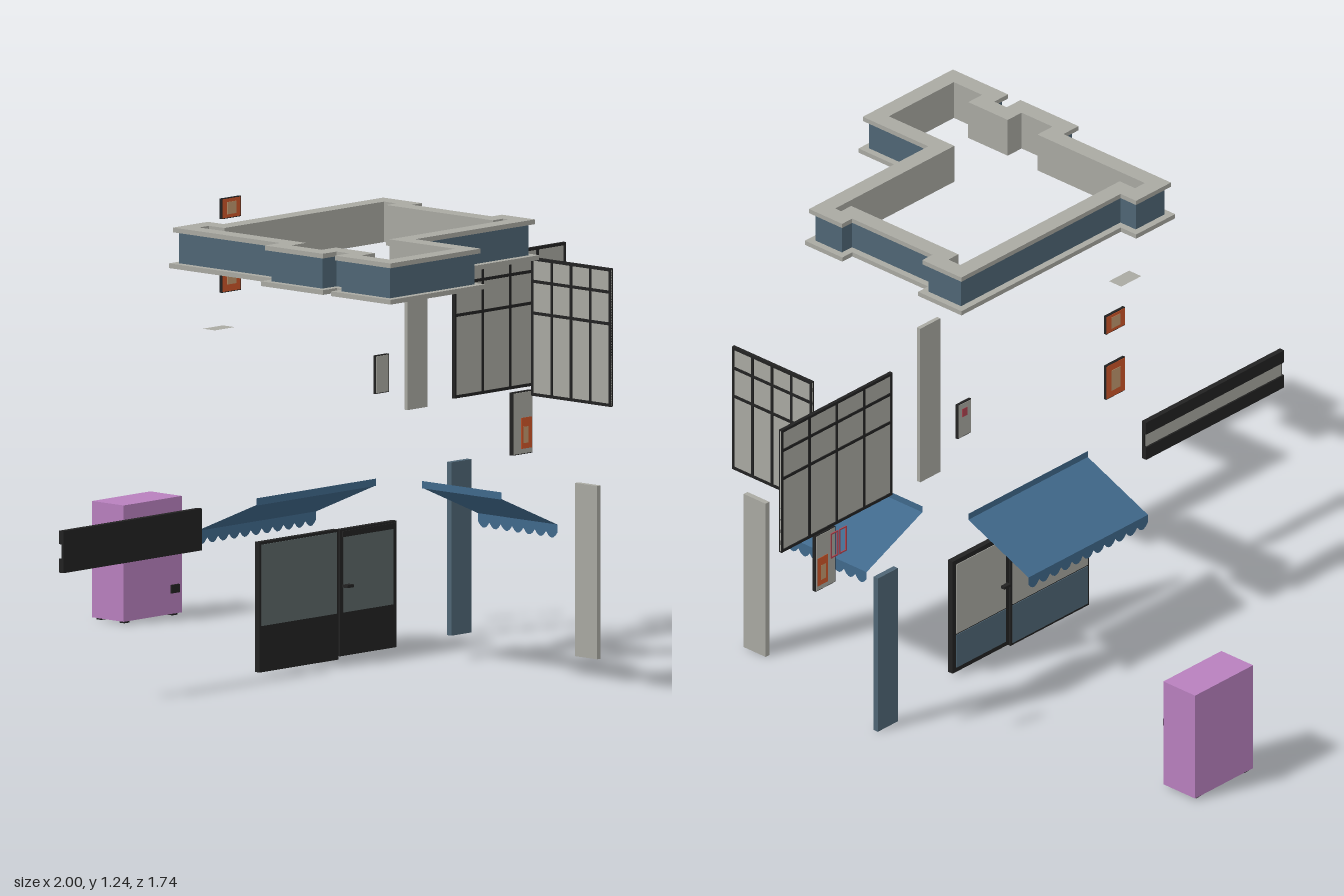
import * as THREE from 'three';

const mat = (name, color) => {
  const m = new THREE.MeshStandardMaterial({ color });
  m.name = name;
  return m;
};

export function createModel() {
  const root = new THREE.Group();
  const wallBlue = mat('slate blue paint', 0x4f6675);
  const awningBlue = mat('awning blue', 0x40698c);
  awningBlue.side = THREE.DoubleSide;
  const grey = mat('pale grey', 0xa9a9a2);
  grey.side = THREE.DoubleSide;
  const black = mat('black frame', 0x222222);
  const tint = mat('tinted glass', 0x5b6666);
  const purple = mat('purple', 0xb880be);
  const orange = mat('poster orange', 0xd0572a);
  const tan = mat('poster tan', 0xc49a70);
  const red = mat('neon red', 0xb04450);

  const group = (name, parent = root) => {
    const g = new THREE.Group();
    g.name = name;
    parent.add(g);
    return g;
  };
  // Box given by its extents on each axis
  const box = (parent, name, m, x0, x1, y0, y1, z0, z1) => {
    const mesh = new THREE.Mesh(new THREE.BoxGeometry(x1 - x0, y1 - y0, z1 - z0), m);
    mesh.position.set((x0 + x1) / 2, (y0 + y1) / 2, (z0 + z1) / 2);
    mesh.name = name;
    parent.add(mesh);
    return mesh;
  };

  // Cornice: right-angled outline, offset outward for the trims
  const outline = [
    [-0.46, 0.013], [-0.345, 0.013], [-0.345, 0.07], [0.29, 0.07], [0.29, 0.19], [0.25, 0.19],
    [0.25, 0.51], [0.29, 0.51], [0.29, 0.608], [-0.185, 0.608], [-0.185, 0.85], [-0.52, 0.85],
    [-0.52, 0.67], [-0.465, 0.67], [-0.465, 0.6], [-0.52, 0.6], [-0.52, 0.41], [-0.46, 0.41],
  ];
  const offset = (d) => outline.map((p, i) => {
    const n = outline.length, a = outline[(i + n - 1) % n], b = outline[(i + 1) % n];
    const s = Math.sign;
    return new THREE.Vector2(
      p[0] + d * (s(p[1] - a[1]) + s(b[1] - p[1])),
      -(p[1] - d * (s(p[0] - a[0]) + s(b[0] - p[0]))));
  });
  const cornice = group('cornice');
  const ring = (name, m, out, inn, y0, y1) => {
    const shape = new THREE.Shape(offset(out));
    shape.holes.push(new THREE.Path(offset(inn)));
    const geo = new THREE.ExtrudeGeometry(shape, { depth: y1 - y0, bevelEnabled: false });
    geo.rotateX(-Math.PI / 2);
    const mesh = new THREE.Mesh(geo, m);
    mesh.position.y = y0;
    mesh.name = name;
    cornice.add(mesh);
  };
  ring('corniceFace', wallBlue, 0, -0.01, 1.14, 1.225);
  ring('corniceLining', grey, -0.01, -0.038, 1.14, 1.225);
  ring('corniceBottomTrim', grey, 0.02, -0.038, 1.127, 1.14);
  ring('corniceTopTrim', grey, 0.012, -0.038, 1.225, 1.238);

  // Horizontal roof patch
  const patch = new THREE.Mesh(new THREE.PlaneGeometry(0.08, 0.045), grey);
  patch.rotation.x = -Math.PI / 2;
  patch.position.set(-0.364, 0.958, 0.07);
  patch.name = 'roofPatch';
  root.add(patch);

  // Long sign board with a pale strip facing the street
  const board = group('signBoard');
  box(board, 'signBack', black, -1, -0.45, 0.36, 0.475, 0.08, 0.088);
  box(board, 'signTopBand', black, -1, -0.45, 0.438, 0.475, 0.072, 0.08);
  box(board, 'signBottomBand', black, -1, -0.45, 0.36, 0.398, 0.072, 0.08);
  box(board, 'signStrip', grey, -0.995, -0.455, 0.398, 0.438, 0.077, 0.08);

  // Shop window and door: dark inside, pale glass and blue panel outside
  const shopPanel = (name, x0, x1, y0, y1, rail, f) => {
    const g = group(name);
    box(g, 'frame', black, x0, x1, y0, y1, 0.077, 0.094);
    box(g, 'innerGlass', tint, x0 + f, x1 - f, rail, y1 - f, 0.094, 0.096);
    box(g, 'outerGlass', grey, x0 + f, x1 - f, rail, y1 - f, 0.075, 0.077);
    box(g, 'outerPanel', wallBlue, x0 + f, x1 - f, y0 + f, rail - 0.004, 0.075, 0.077);
    return g;
  };
  shopPanel('shopWindow', -0.228, 0.085, 0, 0.357, 0.127, 0.007);
  const door = shopPanel('shopDoor', 0.092, 0.316, 0.008, 0.355, 0.127, 0.014);
  box(door, 'doorHeadInside', black, 0.1, 0.31, 0.334, 0.35, 0.094, 0.097);
  box(door, 'doorHandle', black, 0.1, 0.125, 0.196, 0.204, 0.062, 0.114);

  // Awnings: sloped sheet, scalloped valance, back strip; built facing +z
  const awning = (name, width, count) => {
    const g = group(name);
    const run = 0.222, drop = 0.095;
    const add = (part, geo, y, z, rx = 0) => {
      const m = new THREE.Mesh(geo, awningBlue);
      m.position.set(0, y, z);
      m.rotation.x = rx;
      m.name = part;
      g.add(m);
    };
    add('awningSheet', new THREE.PlaneGeometry(width, Math.hypot(run, drop)),
      0.41, run / 2, -Math.atan2(run, drop));
    const s = new THREE.Shape();
    const step = width / count;
    s.moveTo(-width / 2, 0);
    s.lineTo(-width / 2, -0.022);
    for (let i = 0; i < count; i++) {
      const x = -width / 2 + i * step;
      s.quadraticCurveTo(x + step / 2, -0.054, x + step, -0.022);
    }
    s.lineTo(width / 2, 0);
    add('awningValance', new THREE.ShapeGeometry(s, 5), 0.3625, run);
    add('awningBackStrip', new THREE.PlaneGeometry(width, 0.02), 0.466, 0);
    return g;
  };
  const frontAwning = awning('frontAwning', 0.476, 11);
  frontAwning.rotation.y = Math.PI;
  frontAwning.position.set(0.012, 0, 0.08);
  const sideAwning = awning('sideAwning', 0.294, 7);
  sideAwning.rotation.y = Math.PI / 2;
  sideAwning.position.set(0.304, 0, 0.347);

  // Pilasters
  box(root, 'bluePilaster', wallBlue, 0.6, 0.68, 0, 0.475, 0.016, 0.032);
  box(root, 'sidePilaster', grey, 0.566, 0.581, 0, 0.475, 0.522, 0.603);
  box(root, 'upperPilaster', grey, 0.362, 0.442, 0.652, 1.128, 0.08, 0.092);

  // Tall gridded windows, built along x then placed
  const gridWindow = (name, width) => {
    const g = group(name);
    box(g, 'panes', grey, -width / 2, width / 2, 0.665, 1.037, -0.002, 0.002);
    for (let i = 0; i <= 4; i++) {
      const x = (i / 4 - 0.5) * (width - 0.007);
      box(g, 'mullion', black, x - 0.0035, x + 0.0035, 0.662, 1.039, -0.005, 0.005);
    }
    for (const y of [0.665, 0.888, 0.975, 1.036])
      box(g, 'transom', black, -width / 2, width / 2, y - 0.004, y + 0.004, -0.005, 0.005);
    return g;
  };
  gridWindow('frontUpperWindow', 0.442).position.set(0.776, 0, 0.082);
  const sideWindow = gridWindow('sideUpperWindow', 0.294);
  sideWindow.rotation.y = Math.PI / 2;
  sideWindow.position.set(0.74, 0, 0.348);

  // Purple vending cabinet with small fittings
  const cabinet = group('vendingCabinet');
  box(cabinet, 'cabinetBody', purple, 0.145, 0.376, 0.006, 0.325, -0.874, -0.757);
  for (const x of [0.155, 0.345])
    for (const z of [-0.868, -0.782])
      box(cabinet, 'foot', black, x, x + 0.02, 0, 0.006, z, z + 0.018);
  box(cabinet, 'coinSlot', black, 0.325, 0.343, 0.228, 0.243, -0.757, -0.752);
  box(cabinet, 'buttonPlate', black, 0.32, 0.345, 0.186, 0.206, -0.757, -0.75);
  box(cabinet, 'lockHandle', black, 0.35, 0.37, 0.184, 0.204, -0.757, -0.75);
  box(cabinet, 'returnTray', black, 0.33, 0.362, 0.063, 0.086, -0.757, -0.752);

  // Small framed panel
  const panel = group('smallPanel');
  box(panel, 'panelEdge', black, 0.224, 0.277, 0.713, 0.818, 0.094, 0.102);
  box(panel, 'panelFront', grey, 0.226, 0.275, 0.715, 0.816, 0.102, 0.103);
  box(panel, 'panelBack', grey, 0.226, 0.275, 0.715, 0.816, 0.093, 0.094);
  box(panel, 'panelMark', red, 0.24, 0.261, 0.775, 0.8, 0.092, 0.093);

  // Framed posters, printed on both faces
  const poster = (name, y0, y1) => {
    const g = group(name), x0 = 0.091, x1 = 0.166;
    box(g, 'posterEdge', black, x0, x1, y0, y1, -0.351, -0.343);
    box(g, 'posterPrint', orange, x0 + 0.002, x1 - 0.002, y0 + 0.002, y1 - 0.002, -0.352, -0.342);
    const m = (y1 - y0) * 0.2;
    box(g, 'posterPicture', tan, x0 + 0.02, x1 - 0.02, y0 + m, y1 - m, -0.353, -0.341);
  };
  poster('lowerPoster', 0.958, 1.062);
  poster('upperPoster', 1.16, 1.216);

  // Menu board with a picture near the bottom
  const menu = group('menuBoard');
  box(menu, 'menuEdge', black, 0.777, 0.855, 0.48, 0.652, 0.083, 0.095);
  box(menu, 'menuFaces', grey, 0.779, 0.853, 0.482, 0.65, 0.082, 0.096);
  box(menu, 'menuPicture', orange, 0.808, 0.85, 0.495, 0.58, 0.081, 0.097);
  box(menu, 'menuPictureDetail', tan, 0.816, 0.836, 0.51, 0.555, 0.0805, 0.0975);

  // Pair of thin neon outlines
  const neon = group('neonOutline');
  for (const x of [0.872, 0.906]) {
    const w = 0.029, t = 0.004, z = -0.048;
    for (const a of [x, x + w - t]) box(neon, 'neonUpright', red, a, a + t, 0.665, 0.742, z, z + 0.003);
    for (const b of [0.665, 0.738]) box(neon, 'neonBar', red, x + t, x + w - t, b, b + t, z, z + 0.003);
  }
  return root;
}
